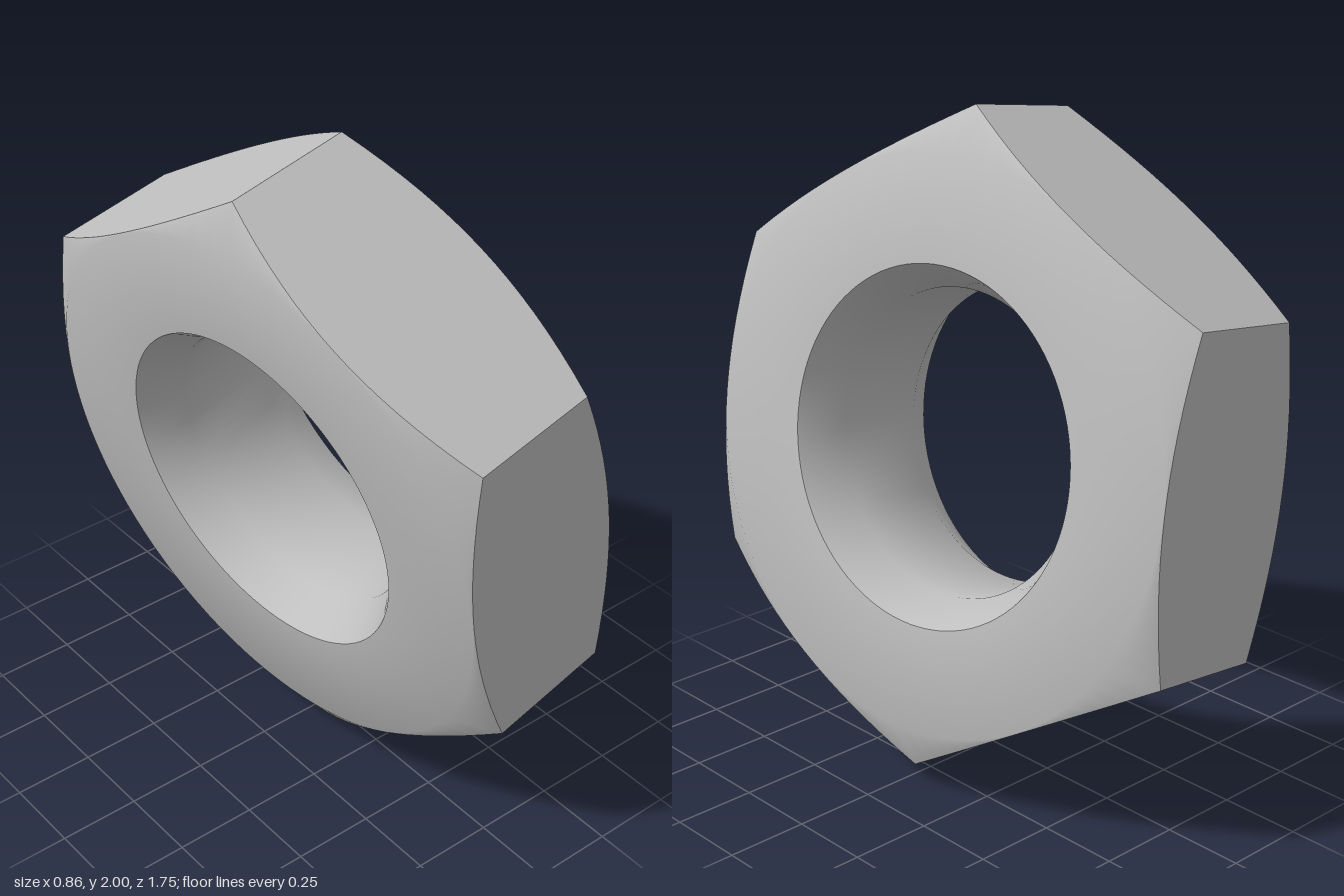
import * as THREE from 'three';
import { toCreasedNormals } from 'three/addons/utils/BufferGeometryUtils.js';

const STEPS = 96;          // segments around, a multiple of six
const CORNER = 0.98;       // centre to hexagon corner
const FLAT = CORNER * Math.cos(Math.PI / 6);
const HALF = 0.28;         // half thickness
const FACE = 0.846;        // radius of the flat annular face
const CHAMFER = 0.577;     // slope of the corner chamfer
const RIM = 0.528;         // countersink radius at the face
const BORE = 0.455;
const BORE_HALF = 0.153;   // half length of the straight bore

// Distance from the axis to the hexagon outline; a corner lies at angle 0
function hexRadius(angle) {
  const sector = Math.PI / 3;
  return FLAT / Math.cos((angle % sector) - sector / 2);
}

// Closed cross-section [distance along axis, radius] at one angle
function section(angle) {
  const hex = hexRadius(angle);
  const half = [
    [BORE_HALF, BORE],
    [HALF, RIM],
    [HALF, FACE],
    [HALF - (hex - FACE) * CHAMFER, hex],
  ];
  return [...half, ...half.map(([h, r]) => [-h, r]).reverse()];
}

function nutGeometry() {
  const positions = [];
  const index = [];
  const rings = 8;
  for (let i = 0; i < STEPS; i++) {
    const angle = (i / STEPS) * Math.PI * 2;
    for (const [h, r] of section(angle)) {
      positions.push(h, r * Math.cos(angle), r * Math.sin(angle));
    }
    const here = i * rings;
    const next = ((i + 1) % STEPS) * rings;
    for (let j = 0; j < rings; j++) {
      const k = (j + 1) % rings;
      index.push(here + j, here + k, next + k, here + j, next + k, next + j);
    }
  }
  const geometry = new THREE.BufferGeometry();
  geometry.setAttribute('position', new THREE.Float32BufferAttribute(positions, 3));
  geometry.setIndex(index);
  return toCreasedNormals(geometry, THREE.MathUtils.degToRad(40));
}

export function createModel() {
  const steel = new THREE.MeshStandardMaterial({ color: 0xbfbfbf });
  steel.name = 'steel grey';

  const nut = new THREE.Mesh(nutGeometry(), steel);
  nut.name = 'hexNut';

  // Tilt: bore axis runs mostly along x, one corner points up
  const axis = new THREE.Vector3(0.983, 0.157, -0.088).normalize();
  const side = axis.clone().cross(new THREE.Vector3(-0.152, 0.97, 0.027)).normalize();
  const up = side.clone().cross(axis);
  nut.quaternion.setFromRotationMatrix(new THREE.Matrix4().makeBasis(axis, up, side));
  nut.position.y = 1;

  const group = new THREE.Group();
  group.name = 'nut';
  group.add(nut);
  return group;
}
